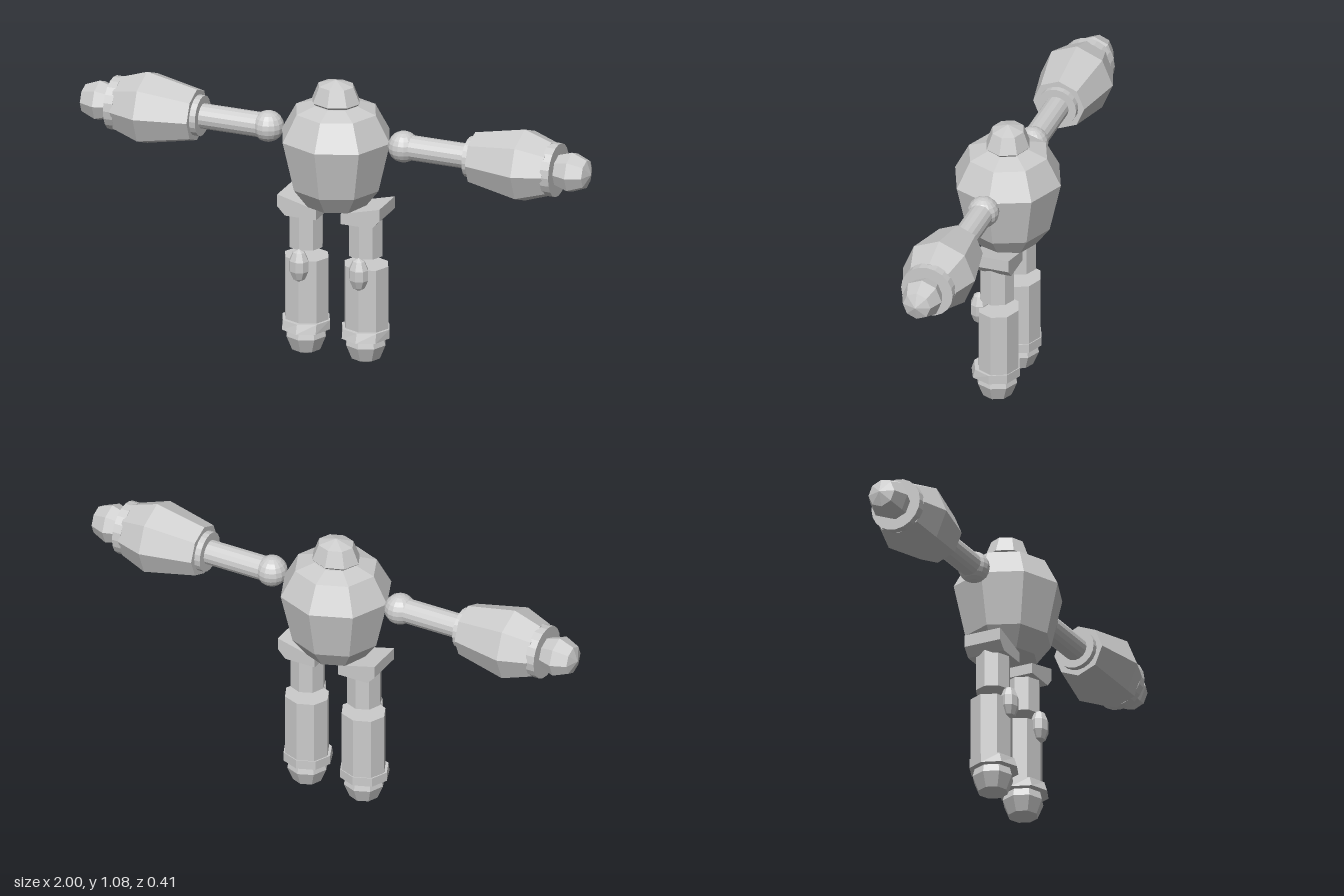
import * as THREE from 'three';

const grey = new THREE.MeshStandardMaterial({ color: 0xcccccc, flatShading: true, side: THREE.DoubleSide });

function add(parent, name, geometry, x = 0, y = 0, z = 0) {
  const mesh = new THREE.Mesh(geometry, grey);
  mesh.name = name;
  mesh.position.set(x, y, z);
  parent.add(mesh);
  return mesh;
}

// Faceted solid turned around y; points are [radius, height] from bottom to top
function turned(points, sides = 8) {
  return new THREE.LatheGeometry(points.map(([r, h]) => new THREE.Vector2(r, h)), sides);
}

// Arm built along +x; the turned axis is laid over sideways
function createArm(name) {
  const arm = new THREE.Group();
  arm.name = name;
  const along = (part, points, sides) =>
    add(arm, part, turned(points, sides).rotateZ(-Math.PI / 2));
  const disc = (r, a, b) => [[0, a], [r, a], [r, b], [0, b]];

  add(arm, 'shoulderBall', new THREE.SphereGeometry(0.058, 16, 10), 0.265);
  along('upperArm', disc(0.046, 0.28, 0.55), 16);
  along('elbowCuff', disc(0.075, 0.522, 0.556), 20);
  along('forearm', [[0, 0.545], [0.098, 0.545], [0.138, 0.74], [0.102, 0.845], [0, 0.845]]);
  along('wristCuff', disc(0.099, 0.838, 0.872), 20);
  along('hand', [[0, 0.855], [0.055, 0.86], [0.076, 0.925], [0.053, 0.982], [0, 1]]);
  return arm;
}

function createLeg(side) {
  const leg = new THREE.Group();
  leg.name = side > 0 ? 'leftLeg' : 'rightLeg';
  const x = side * 0.117;

  // Hip plate, rising towards the outside
  const outline = [[0.2, 0.634], [0.2, 0.588], [0.17, 0.556], [0.048, 0.556], [0.048, 0.595]];
  const shape = new THREE.Shape(outline.map(([px, py]) => new THREE.Vector2(side * px, py)));
  add(leg, 'hipPlate', new THREE.ExtrudeGeometry(shape, { depth: 0.146, bevelEnabled: false }), 0, 0, -0.073);

  add(leg, 'thigh', new THREE.CylinderGeometry(0.065, 0.065, 0.15, 8), x, 0.5, 0);
  add(leg, 'shin', new THREE.CylinderGeometry(0.077, 0.077, 0.26, 8).scale(1.11, 1, 1), x, 0.255, -0.006);
  add(leg, 'kneeCap', new THREE.SphereGeometry(1, 8, 5).scale(0.039, 0.064, 0.034), x, 0.369, 0.068);

  // Ankle ring with its lower front edge flared forwards
  const ankle = new THREE.CylinderGeometry(0.087, 0.087, 0.035, 8).scale(1.07, 1, 1);
  const p = ankle.attributes.position;
  for (let i = 0; i < p.count; i++) {
    if (p.getY(i) < 0 && p.getZ(i) > 0.01) p.setZ(i, p.getZ(i) * 1.13);
  }
  add(leg, 'ankleRing', ankle, x, 0.127, 0);

  add(leg, 'foot', turned([[0, 0.003], [0.055, 0.026], [0.077, 0.08], [0.068, 0.115], [0, 0.118]]), x);
  return leg;
}

export function createModel() {
  const model = new THREE.Group();
  model.name = 'robot';

  // Torso and head
  const torso = turned([[0, 0.6], [0.108, 0.604], [0.16, 0.675], [0.203, 0.866], [0.15, 0.968], [0.08, 0.992], [0, 0.996]]);
  add(model, 'torso', torso.scale(1.04, 1, 1));
  const head = turned([[0, 0.98], [0.062, 0.982], [0.082, 1.002], [0.06, 1.063], [0, 1.083]]);
  add(model, 'head', head.scale(1.14, 1, 1));

  // Arms, the right one turned half way round
  const leftArm = createArm('leftArm');
  const rightArm = createArm('rightArm');
  rightArm.rotation.y = Math.PI;
  for (const arm of [leftArm, rightArm]) {
    arm.position.y = 0.864;
    model.add(arm);
  }

  for (const side of [-1, 1]) model.add(createLeg(side));
  return model;
}
